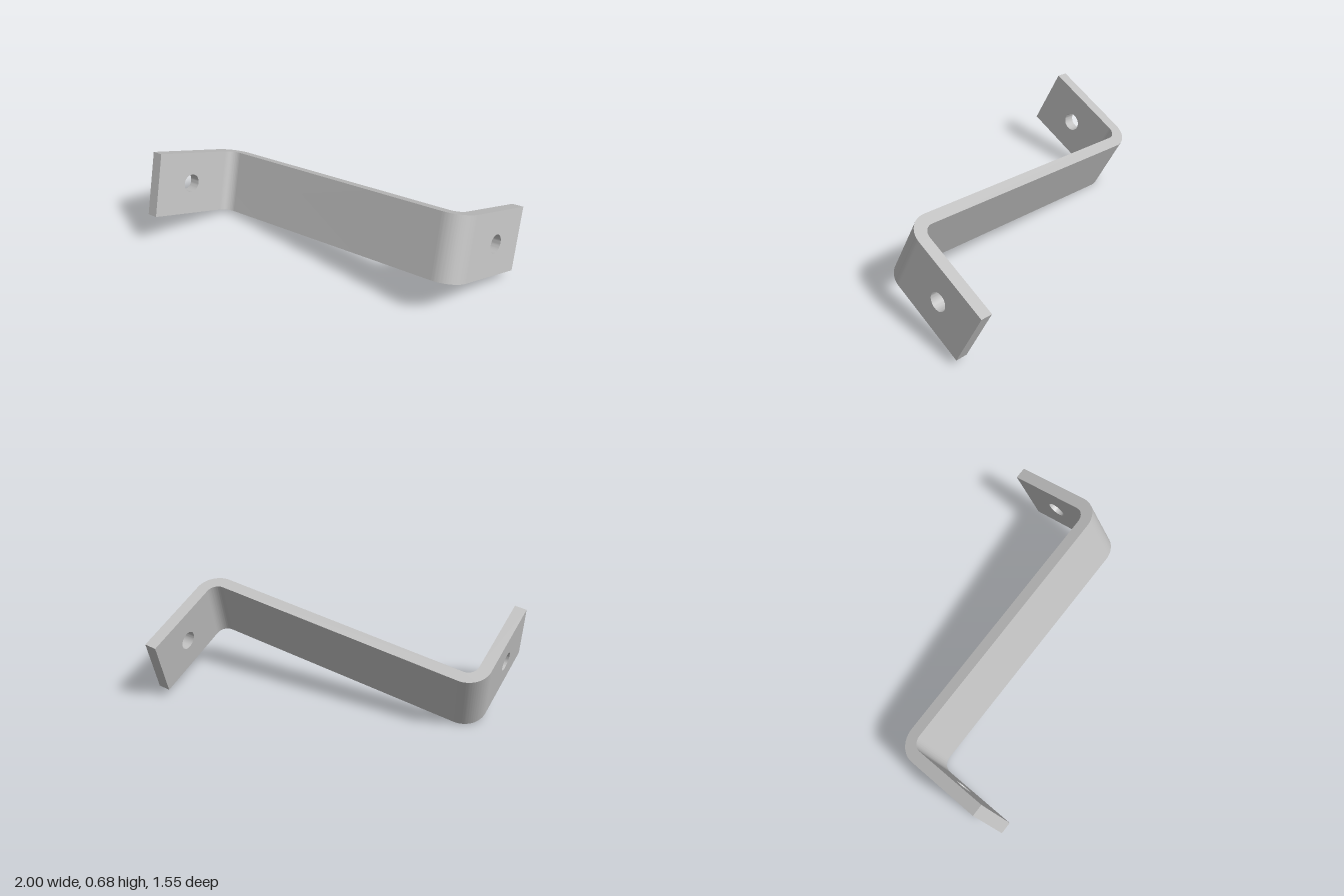
import * as THREE from 'three';
import { toCreasedNormals } from 'three/addons/utils/BufferGeometryUtils.js';

const HALF_LENGTH = 0.983;
const HALF_WIDTH = 0.208;
const THICK = 0.077;
const OUTER_R = 0.15;
const INNER_R = OUTER_R - THICK;
const FLANGE_END = 0.666;
const HOLE_R = 0.06;

export function createModel() {
  const steel = new THREE.MeshStandardMaterial({ color: 0xc0c0c0 });
  steel.name = 'light grey metal';

  const bracket = new THREE.Group();
  bracket.name = 'bracket';

  // Long web with a rounded bend at each end, swept across the strip width
  const h = THICK / 2;
  const cx = HALF_LENGTH - OUTER_R;
  const cy = OUTER_R - h;
  const profile = new THREE.Shape();
  profile.moveTo(-HALF_LENGTH, -cy);
  profile.absarc(-cx, -cy, OUTER_R, Math.PI, Math.PI / 2, true);
  profile.absarc(cx, cy, INNER_R, -Math.PI / 2, 0, false);
  profile.absarc(cx, cy, OUTER_R, 0, -Math.PI / 2, true);
  profile.absarc(-cx, -cy, INNER_R, Math.PI / 2, Math.PI, false);
  profile.closePath();
  const webGeometry = new THREE.ExtrudeGeometry(profile, {
    depth: 2 * HALF_WIDTH, bevelEnabled: false, curveSegments: 16,
  });
  webGeometry.translate(0, 0, -HALF_WIDTH).rotateX(-Math.PI / 2);
  const web = new THREE.Mesh(toCreasedNormals(webGeometry, 0.6), steel);
  web.name = 'bentWeb';
  bracket.add(web);

  // Flat flange with a round bolt hole
  const plate = new THREE.Shape();
  plate.moveTo(cy, -HALF_WIDTH);
  plate.lineTo(FLANGE_END, -HALF_WIDTH);
  plate.lineTo(FLANGE_END, HALF_WIDTH);
  plate.lineTo(cy, HALF_WIDTH);
  plate.closePath();
  const hole = new THREE.Path();
  hole.absarc((cy + FLANGE_END) / 2, 0, HOLE_R, 0, Math.PI * 2, true);
  plate.holes.push(hole);
  const plateGeometry = new THREE.ExtrudeGeometry(plate, {
    depth: THICK, bevelEnabled: false, curveSegments: 24,
  });
  plateGeometry.rotateY(-Math.PI / 2).translate(THICK - HALF_LENGTH, 0, 0);
  const flangeGeometry = toCreasedNormals(plateGeometry, 0.6);

  // The two flanges point opposite ways
  for (const [name, turn] of [['rightFlange', 0], ['leftFlange', Math.PI]]) {
    const flange = new THREE.Mesh(flangeGeometry, steel);
    flange.name = name;
    flange.rotation.y = turn;
    bracket.add(flange);
  }

  // Tilted resting pose: along the web, across the strip, along the flanges
  const along = new THREE.Vector3(0.984, 0.1545, -0.0846).normalize();
  const across = new THREE.Vector3(-0.175, 0.918, -0.355);
  const out = new THREE.Vector3().crossVectors(along, across).normalize();
  across.crossVectors(out, along);
  bracket.quaternion.setFromRotationMatrix(new THREE.Matrix4().makeBasis(along, across, out));
  bracket.position.y = 0.337;

  const model = new THREE.Group();
  model.name = 'offsetBracket';
  model.add(bracket);
  return model;
}
